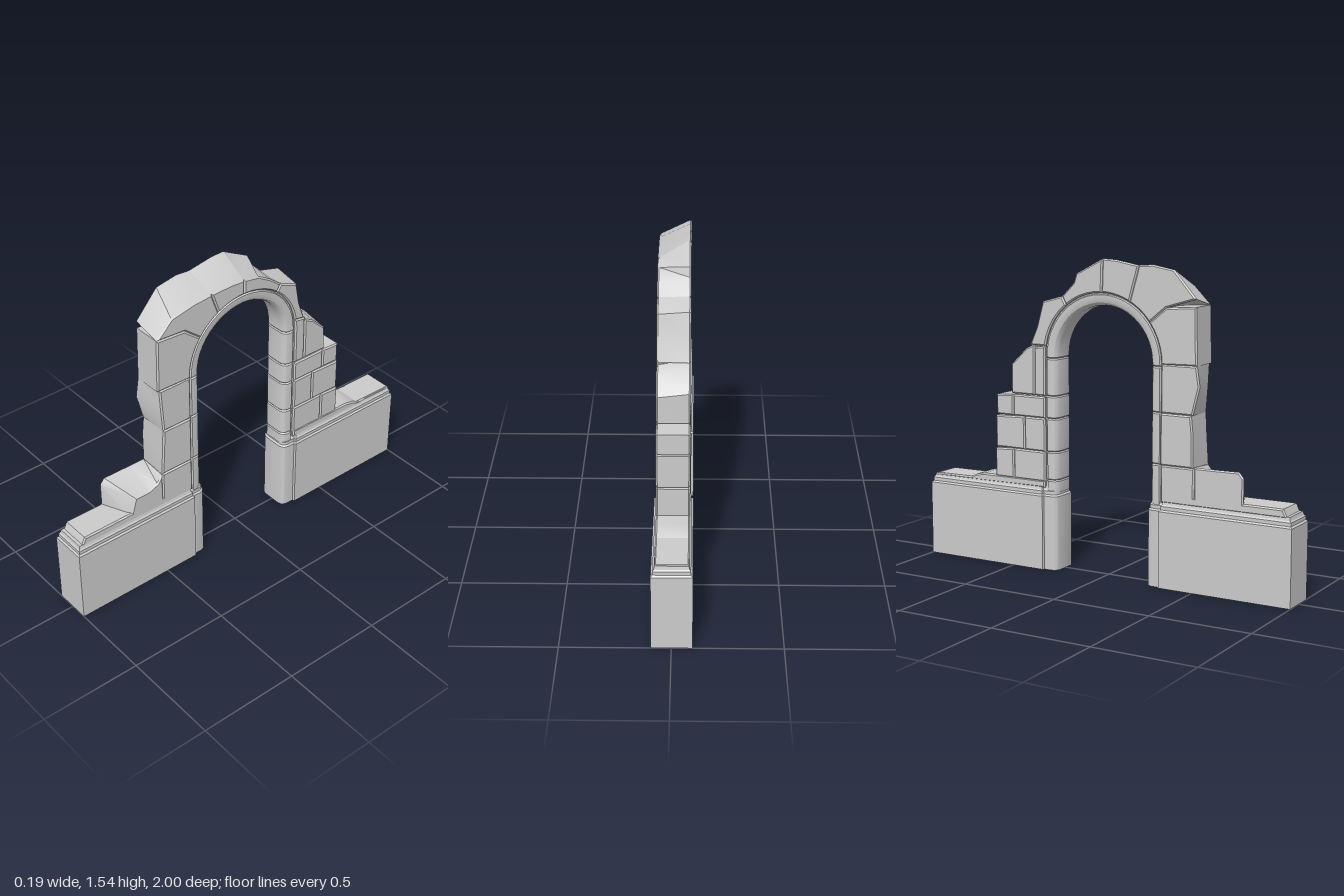
import * as THREE from 'three';
import { toCreasedNormals } from 'three/addons/utils/BufferGeometryUtils.js';

const material = new THREE.MeshStandardMaterial({ color: 0xcccccc, side: THREE.DoubleSide });
const CZ = 0.005, CY = 1.06, R = 0.32; // arch centre and radius of the wall opening
const BACK = -0.08, FRONT = 0.075; // wall faces in x

// Skin through rings of [u, v, w]; optional flat caps at either end
function loft(rings, capStart, capEnd) {
  const n = rings[0].length, index = [];
  for (let i = 0; i < rings.length - 1; i++) {
    for (let j = 0; j < n; j++) {
      const a = i * n + j, b = i * n + (j + 1) % n;
      index.push(a, b, b + n, a, b + n, a + n);
    }
  }
  const cap = (r, flip) => {
    const contour = rings[r].map(p => new THREE.Vector2(p[0], p[1]));
    for (const [a, b, c] of THREE.ShapeUtils.triangulateShape(contour, [])) {
      index.push(r * n + a, r * n + (flip ? c : b), r * n + (flip ? b : c));
    }
  };
  if (capStart) cap(0, true);
  if (capEnd) cap(rings.length - 1, false);
  const g = new THREE.BufferGeometry();
  g.setAttribute('position', new THREE.Float32BufferAttribute(rings.flat(2), 3));
  g.setIndex(index);
  return g;
}

// Move every edge of a counter-clockwise polygon inwards by d
function inset(pts, d) {
  const n = pts.length;
  return pts.map((p, i) => {
    const a = pts[(i + n - 1) % n], b = pts[(i + 1) % n];
    const normal = (s, e) => {
      const l = Math.hypot(e[0] - s[0], e[1] - s[1]) || 1;
      return [-(e[1] - s[1]) / l, (e[0] - s[0]) / l];
    };
    const n1 = normal(a, p), n2 = normal(p, b);
    const k = d / Math.max(0.4, 1 + n1[0] * n2[0] + n1[1] * n2[1]);
    return [p[0] + (n1[0] + n2[0]) * k, p[1] + (n1[1] + n2[1]) * k];
  });
}

const ccw = pts => THREE.ShapeUtils.area(pts.map(p => new THREE.Vector2(...p))) < 0 ? [...pts].reverse() : pts;
const at = (pts, w) => pts.map(p => [p[0], p[1], w]);

function addMesh(group, name, geometry) {
  const mesh = new THREE.Mesh(toCreasedNormals(geometry, 0.45), material);
  mesh.name = name;
  group.add(mesh);
}

// Chamfered stone: outlines in (z, y) on the +x face and on the -x face
function stone(group, name, front, back = front, x0 = BACK, x1 = FRONT, c = 0.007) {
  const f = ccw(front.map(([z, y]) => [-z, y])), b = ccw(back.map(([z, y]) => [-z, y]));
  const rings = [at(inset(b, c), x0), at(b, x0 + c), at(f, x1 - c), at(inset(f, c), x1)];
  addMesh(group, name, loft(rings, true, true).rotateY(Math.PI / 2));
}

// Points on the opening's curve, angles in degrees from +z
function arc(a0, a1, n = 5) {
  return Array.from({ length: n + 1 }, (_, i) => {
    const a = THREE.MathUtils.degToRad(a0 + (a1 - a0) * i / n);
    return [CZ + R * Math.cos(a), CY + R * Math.sin(a)];
  });
}

// Plinth with rounded inner jamb and stepped moulding, open underneath
function plinth(group, side) {
  const half = [[0.0925, 1], [0.0925, 0.325], [0.081, 0.322], [0.081, 0.283], [0.076, 0.266], [0.065, 0.255], [0.05, 0.25]];
  const outline = [...half, ...half.map(([x, z]) => [-x, z]).reverse()];
  const foot = ccw(outline.map(([x, z]) => [x - 0.002, -side * z]));
  const steps = [[0, 0], [0.37, 0], [0.378, 0.008], [0.395, 0.008], [0.402, 0.014], [0.418, 0.018]];
  const rings = steps.map(([y, d]) => at(inset(foot, d), y));
  addMesh(group, side > 0 ? 'leftPlinth' : 'rightPlinth', loft(rings, false, true).rotateX(-Math.PI / 2));
}

// Rounded trim that climbs one jamb, follows the arch and descends the other
function trim(group) {
  const half = [[0.258, 0.04], [0.263, 0.055], [0.273, 0.066], [0.287, 0.071], [0.31, 0.071], [0.314, 0.062], [0.335, 0.062]];
  const profile = [...half.map(([r, x]) => [r, -x]), ...half.slice().reverse()];
  const ring = (a, y, s = 1) => profile.map(([r, x]) => {
    const q = 0.3 + (r - 0.3) * s;
    return [x * s - 0.002, y + q * Math.sin(a), CZ + q * Math.cos(a)];
  });
  const jamb = (a, seams) => seams.flatMap(y => [ring(a, y - 0.006), ring(a, y, 0.9), ring(a, y + 0.006)]);
  const rings = [ring(0, 0.39), ...jamb(0, [0.59, 0.835, 1.05])];
  for (let i = 0; i <= 24; i++) rings.push(ring(Math.PI * i / 24, CY));
  rings.push(...jamb(Math.PI, [0.45, 0.59, 0.755, 0.865, 1.05]).reverse(), ring(Math.PI, 0.39));
  addMesh(group, 'archTrim', loft(rings, false, false));
}

export function createModel() {
  const model = new THREE.Group();
  model.name = 'ruinedArch';
  plinth(model, 1);
  plinth(model, -1);
  trim(model);

  // Low remains of the wall on both plinths
  stone(model, 'leftLedge', [[0.97, 0.41], [0.95, 0.452], [0.48, 0.452], [0.48, 0.41]]);
  stone(model, 'rightLedge', [[-0.32, 0.41], [-0.32, 0.447], [-0.68, 0.447], [-0.73, 0.437], [-0.76, 0.422], [-0.97, 0.42], [-0.985, 0.405]]);
  stone(model, 'brokenStone',
    [[0.5, 0.43], [0.5, 0.585], [0.53, 0.55], [0.58, 0.53], [0.66, 0.53], [0.69, 0.43]],
    [[0.5, 0.43], [0.5, 0.595], [0.58, 0.595], [0.73, 0.597], [0.752, 0.57], [0.752, 0.43]]);

  // Left pillar courses with uneven outer edges
  stone(model, 'leftPillarStone', [[0.325, 0.41], [0.325, 0.59], [0.5, 0.59], [0.5, 0.41]]);
  stone(model, 'leftPillarStone',
    [[0.325, 0.59], [0.325, 0.835], [0.485, 0.835], [0.49, 0.74], [0.5, 0.59]],
    [[0.325, 0.59], [0.325, 0.835], [0.485, 0.835], [0.495, 0.74], [0.495, 0.59]], -0.086);
  stone(model, 'leftPillarStone',
    [[0.325, 0.835], [0.325, 1.065], [0.5, 1.065], [0.495, 0.97], [0.485, 0.835]],
    [[0.325, 0.835], [0.325, 1.065], [0.51, 1.065], [0.525, 0.97], [0.49, 0.835]]);
  stone(model, 'leftSpringer', [[0.51, 1.065], ...arc(0, 37), [0.35, 1.325], [0.505, 1.335]]);

  // Arch stones; their tops slope down towards +x
  stone(model, 'archStone',
    [[0.505, 1.335], [0.35, 1.325], ...arc(37, 62), [0.195, 1.455], [0.3, 1.445], [0.42, 1.42]],
    [[0.505, 1.37], [0.35, 1.325], ...arc(37, 62), [0.205, 1.515], [0.28, 1.52], [0.39, 1.5]]);
  stone(model, 'archStone',
    [...arc(62, 90), [0.005, 1.455], [0.08, 1.46], [0.195, 1.455]],
    [...arc(62, 90), [0.01, 1.54], [0.08, 1.537], [0.205, 1.515]]);
  stone(model, 'archStone',
    [...arc(90, 128), [-0.215, 1.35], [-0.15, 1.4], [-0.08, 1.44], [0.005, 1.455]],
    [...arc(90, 128), [-0.215, 1.355], [-0.15, 1.42], [-0.135, 1.465], [0.01, 1.54]]);
  stone(model, 'archStone',
    [...arc(128, 171), [-0.37, 1.1], [-0.335, 1.2], [-0.315, 1.31], [-0.215, 1.35]],
    [...arc(128, 171), [-0.4, 1.11], [-0.36, 1.2], [-0.325, 1.325], [-0.215, 1.355]]);

  // Right pillar courses, stepping out towards the ground
  stone(model, 'rightPillarStone', [[-0.315, 0.865], [-0.315, 1.06], ...arc(180, 171, 1), [-0.375, 1.1], [-0.375, 0.865]]);
  stone(model, 'rightPillarStone',
    [[-0.375, 0.865], [-0.375, 1.09], [-0.43, 1.06], [-0.505, 0.99], [-0.51, 0.865]],
    [[-0.375, 0.865], [-0.375, 1.115], [-0.42, 1.095], [-0.51, 1.01], [-0.51, 0.865]]);
  const courses = [[0.44, 0.59, -0.5, -0.61], [0.59, 0.755, -0.435, -0.605], [0.755, 0.86, -0.5, -0.6]];
  for (const [y0, y1, joint, end] of courses) {
    for (const [a, b] of [[-0.315, joint], [joint, end]]) {
      stone(model, 'rightPillarStone', [[a, y0], [a, y1], [b, y1 - (b === end ? 0.006 : 0)], [b, y0]]);
    }
  }
  return model;
}
